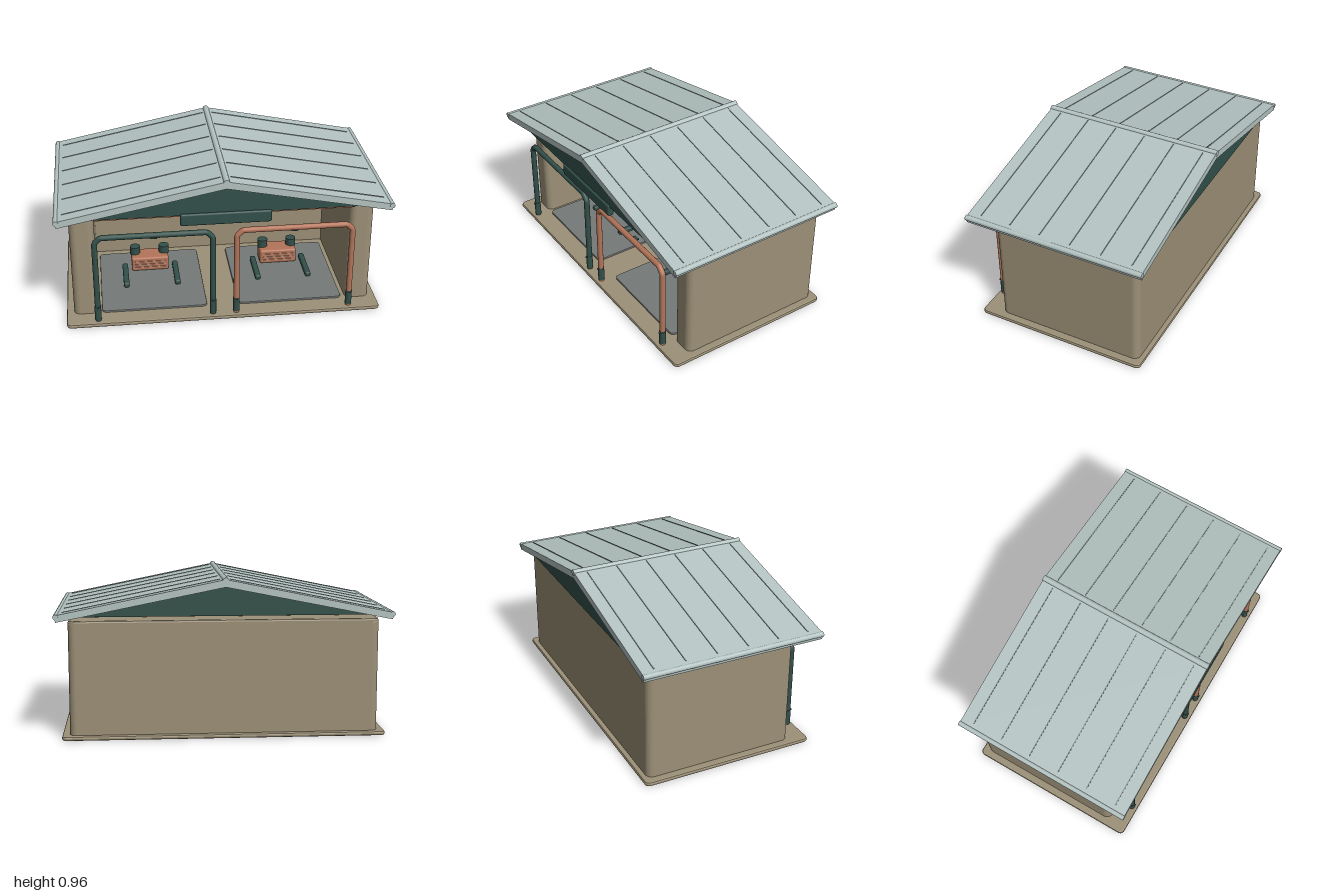
import * as THREE from 'three';
import { RoundedBoxGeometry } from 'three/addons/geometries/RoundedBoxGeometry.js';

const mat = (name, color) => {
  const m = new THREE.MeshStandardMaterial({ color });
  m.name = name;
  return m;
};

export function createModel() {
  const group = new THREE.Group();
  const plaster = mat('plaster', 0x9c9077);
  const roofMat = mat('roofMetal', 0xb4c4c2);
  const seam = mat('roofSeam', 0x82918f);
  const green = mat('darkGreen', 0x33504a);
  const copper = mat('copper', 0xb4755a);
  const stone = mat('padGrey', 0x757a77);
  const slatMat = mat('slat', 0xc08f78);

  const add = (name, geo, material, x = 0, y = 0, z = 0, parent = group) => {
    const m = new THREE.Mesh(geo, material);
    m.name = name;
    m.position.set(x, y, z);
    parent.add(m);
    return m;
  };

  // Upright slab with rounded plan corners and a small bevel, y0 to y1
  const slab = (name, material, x0, x1, z0, z1, y0, y1, r, bevel, parent = group) => {
    const w = (x1 - x0) / 2 - bevel, d = (z1 - z0) / 2 - bevel;
    const s = new THREE.Shape();
    s.moveTo(-w + r, -d);
    s.lineTo(w - r, -d);
    s.absarc(w - r, -d + r, r, -Math.PI / 2, 0);
    s.absarc(w - r, d - r, r, 0, Math.PI / 2);
    s.absarc(-w + r, d - r, r, Math.PI / 2, Math.PI);
    s.absarc(-w + r, -d + r, r, Math.PI, Math.PI * 1.5);
    const g = new THREE.ExtrudeGeometry(s, {
      depth: y1 - y0 - 2 * bevel, bevelEnabled: true, bevelSize: bevel,
      bevelThickness: bevel, bevelSegments: 2, curveSegments: 8,
    });
    g.translate(0, 0, bevel);
    g.rotateX(-Math.PI / 2);
    return add(name, g, material, (x0 + x1) / 2, y0, (z0 + z1) / 2, parent);
  };

  // Floor and walls
  slab('floorSlab', plaster, -0.965, 0.965, -0.54, 0.54, 0, 0.026, 0.02, 0.01);
  slab('backWall', plaster, -0.92, 0.92, -0.51, -0.335, 0.015, 0.708, 0.035, 0.012);
  for (const s of [-1, 1]) {
    const [a, b] = s > 0 ? [0.77, 0.92] : [-0.92, -0.77];
    slab(s > 0 ? 'leftWall' : 'rightWall', plaster, a, b, -0.51, 0.42, 0.015, 0.695, 0.03, 0.012);
  }

  // Extrude a profile in x and y, centred along z
  const prism = (name, pts, halfDepth, material) => {
    const shape = new THREE.Shape(pts.map(([x, y]) => new THREE.Vector2(x, y)));
    const g = new THREE.ExtrudeGeometry(shape, { depth: halfDepth * 2, bevelEnabled: false });
    return add(name, g, material, 0, 0, -halfDepth);
  };

  // Roof, gable infill, ridge and eaves
  prism('roof', [[-0.985, 0.708], [0, 0.905], [0.985, 0.708], [0.992, 0.748], [0, 0.95], [-0.992, 0.748]], 0.565, roofMat);
  prism('gable', [[-0.85, 0.735], [0.85, 0.735], [0, 0.906]], 0.54, green);
  const rod = (name, r, len, material, x, y, z, parent = group) => {
    const g = new THREE.CylinderGeometry(r, r, len, 16);
    g.rotateX(Math.PI / 2);
    return add(name, g, material, x, y, z, parent);
  };
  rod('ridgeCap', 0.019, 1.136, roofMat, 0, 0.942, 0);
  const slope = Math.atan2(0.202, 0.992);
  for (const s of [-1, 1]) {
    rod('eaveTrim', 0.016, 1.136, roofMat, s * 0.984, 0.739, 0);
    for (const z of [-0.487, -0.293, -0.098, 0.098, 0.293, 0.487]) {
      const rib = add('roofRib', new THREE.BoxGeometry(0.94, 0.006, 0.006), seam, s * 0.49, 0.8505, z);
      rib.rotation.z = -s * slope;
    }
  }

  // Lintel bar and front panel
  add('lintel', new THREE.BoxGeometry(1.54, 0.02, 0.03), copper, 0, 0.726, 0.5);
  add('frontPanel', new RoundedBoxGeometry(0.54, 0.077, 0.04, 3, 0.012), green, 0, 0.707, 0.532);

  // Each bay: pipe arch, sleeves, nozzle, floor pad and machine
  const bay = (name, cx, pipeMat) => {
    const g = new THREE.Group();
    g.name = name;
    g.position.x = cx;
    group.add(g);

    const w = 0.35, z = 0.503;
    const P = (x, y) => new THREE.Vector3(x, y, z);
    const pts = [P(-w, 0.03), P(-w, 0.562), P(-w + 0.035, 0.597), P(w - 0.035, 0.597), P(w, 0.562), P(w, 0.03)];
    const path = new THREE.CurvePath();
    for (let i = 1; i < pts.length; i++) path.add(new THREE.LineCurve3(pts[i - 1], pts[i]));
    add('pipeArch', new THREE.TubeGeometry(path, 140, 0.0175, 14, false), pipeMat, 0, 0, 0, g);
    for (const s of [-1, 1]) {
      add('pipeSleeve', new THREE.CylinderGeometry(0.02, 0.02, 0.09, 16), green, s * w, 0.086, z, g);
      rod('sleeveKnob', 0.006, 0.02, green, s * w, 0.125, z + 0.016, g);
    }
    add('nozzle', new THREE.BoxGeometry(0.04, 0.007, 0.045), green, 0, 0.57, 0.472, g);

    slab('floorPad', stone, -0.325, 0.325, -0.28, 0.42, 0.02, 0.038, 0.025, 0.004, g);

    add('machineBody', new RoundedBoxGeometry(0.24, 0.095, 0.13, 3, 0.012), copper, 0, 0.086, -0.095, g);
    for (const y of [0.065, 0.085, 0.105])
      add('machineSlat', new THREE.BoxGeometry(0.2, 0.006, 0.006), slatMat, 0, y, -0.029, g);
    for (const s of [-1, 1]) {
      add('machineCap', new THREE.CylinderGeometry(0.033, 0.033, 0.055, 20), green, s * 0.094, 0.154, -0.11, g);
      add('floorRail', new RoundedBoxGeometry(0.036, 0.034, 0.26, 3, 0.012), green, s * 0.163, 0.054, 0.04, g);
    }
  };
  bay('rightBay', -0.424, green);
  bay('leftBay', 0.42, copper);

  return group;
}
